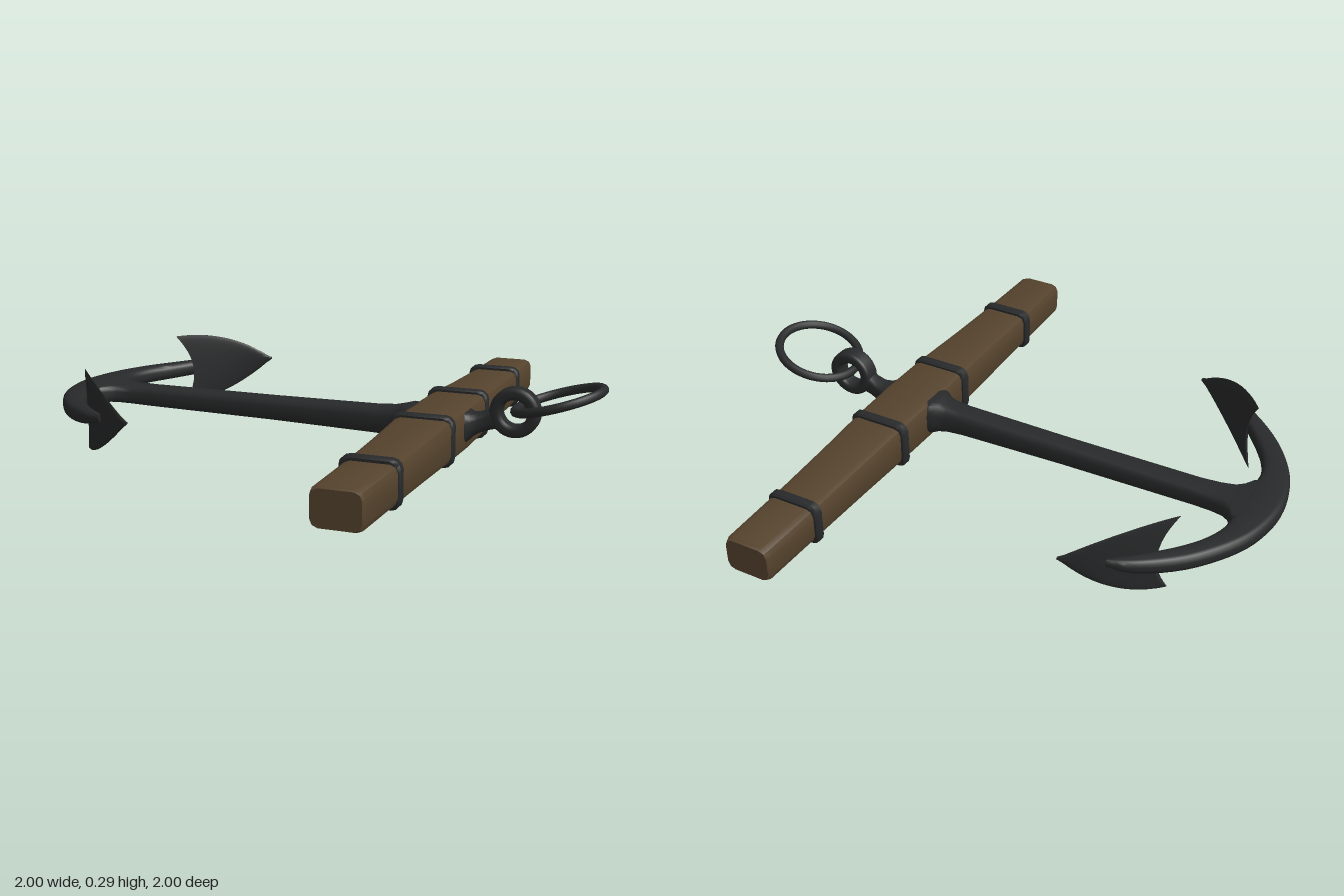
import * as THREE from 'three';
import { toCreasedNormals } from 'three/addons/utils/BufferGeometryUtils.js';

const V = (x, y, z) => new THREE.Vector3(x, y, z);
const X = V(1, 0, 0), Y = V(0, 1, 0), Z = V(0, 0, 1);

// Skin a list of point rings; each ring turns counterclockwise about the travel direction.
function loft(rings, crease = 0.7) {
  const n = rings[0].length, last = (rings.length - 1) * n, index = [];
  for (let k = 0; k < last; k += n) {
    for (let i = 0; i < n; i++) {
      const a = k + i, b = k + (i + 1) % n;
      index.push(a, b, b + n, a, b + n, a + n);
    }
  }
  for (let i = 0; i < n / 2 - 1; i++) {
    const p = n - 1 - i, q = n - 2 - i;
    index.push(i, q, i + 1, i, p, q);
    index.push(last + i, last + i + 1, last + q, last + i, last + q, last + p);
  }
  const geo = new THREE.BufferGeometry().setFromPoints(rings.flat());
  geo.setIndex(index);
  return toCreasedNormals(geo, crease);
}

// Rounded rectangle ring: half sizes a along u, b along v, corner radius r.
function ring(c, u, v, a, b, r, segs = 3) {
  const pts = [];
  for (let q = 0; q < 4; q++) {
    const su = q === 0 || q === 3 ? 1 : -1, sv = q < 2 ? 1 : -1;
    for (let i = 0; i <= segs; i++) {
      const t = (q + i / segs) * Math.PI / 2;
      pts.push(c.clone()
        .addScaledVector(u, su * (a - r) + r * Math.cos(t))
        .addScaledVector(v, sv * (b - r) + r * Math.sin(t)));
    }
  }
  return pts;
}

export function createModel() {
  const model = new THREE.Group();
  const iron = new THREE.MeshStandardMaterial({ color: 0x28292a });
  iron.name = 'dark iron';
  const wood = new THREE.MeshStandardMaterial({ color: 0x55432d });
  wood.name = 'brown wood';
  const add = (name, geo, mat, parent = model) => {
    const mesh = new THREE.Mesh(geo, mat);
    mesh.name = name;
    parent.add(mesh);
    return mesh;
  };

  // Tapered wooden stock: [z, half width, half height, centre height]
  const half = [[0, 0.105, 0.075, 0.11], [0.2, 0.102, 0.074, 0.11], [0.45, 0.095, 0.069, 0.106],
    [0.7, 0.09, 0.065, 0.103], [0.985, 0.085, 0.064, 0.102], [1, 0.08, 0.059, 0.102]];
  const stock = [...half.slice(1).reverse().map(([z, ...s]) => [-z, ...s]), ...half];
  add('woodenStock', loft(stock.map(([z, w, h, y]) =>
    ring(V(0.425, y, z), X, Y, w, h, 0.026, 2)), 0.45), wood);

  // Iron bands around the stock
  for (const [z, w, h, y] of [[-0.74, 0.099, 0.079, 0.103], [-0.23, 0.112, 0.088, 0.109],
    [0.19, 0.111, 0.088, 0.109], [0.7, 0.1, 0.08, 0.103]]) {
    add('stockBand', loft([[-0.019, 0.006], [-0.012, 0], [0.012, 0], [0.019, 0.006]].map(([dz, s]) =>
      ring(V(0.422, y, z + dz), X, Y, w - s, h - s, 0.033))), iron);
  }

  // Shank with flared ends, passing through the stock: [x, centre height, half height, half depth]
  add('shank', loft([
    [-0.9, 0.137, 0.029, 0.13], [-0.865, 0.135, 0.03, 0.115], [-0.845, 0.133, 0.031, 0.085],
    [-0.82, 0.131, 0.033, 0.065], [-0.77, 0.129, 0.035, 0.053], [-0.7, 0.127, 0.037, 0.047],
    [-0.2, 0.123, 0.042, 0.045], [0.2, 0.119, 0.049, 0.048], [0.26, 0.119, 0.053, 0.052],
    [0.295, 0.12, 0.059, 0.061], [0.32, 0.12, 0.064, 0.08], [0.42, 0.12, 0.055, 0.08],
    [0.525, 0.12, 0.055, 0.068], [0.54, 0.128, 0.043, 0.05], [0.565, 0.138, 0.036, 0.036],
    [0.6, 0.152, 0.036, 0.031], [0.635, 0.165, 0.04, 0.03],
  ].map(([x, y, h, d]) => ring(V(x, y, 0), Y, Z, h, d, Math.min(h, d) * 0.65)), 0.8), iron);

  // Eye at the end of the shank
  const profile = ring(V(0.066, 0, 0), X, Y, 0.021, 0.033, 0.014).map(p => new THREE.Vector2(p.x, p.y));
  profile.push(profile[0].clone());
  const eye = add('shankEye', new THREE.LatheGeometry(profile, 32), iron);
  eye.rotation.x = Math.PI / 2;
  eye.position.set(0.69, 0.185, 0);

  // Tilted ring through the eye
  const hoop = add('ring', new THREE.TorusGeometry(0.152, 0.016, 10, 48), iron);
  hoop.rotation.set(Math.PI / 2, -0.3, 0);
  hoop.rotation.order = 'ZYX';
  hoop.rotation.set(Math.PI / 2, 0, 0.29);
  hoop.position.set(0.835, 0.236, -0.01);

  // Curved arms: [outer x, outer z, inner x, inner z, centre height, half height]
  const arm = [[-1, 0, -0.87, 0, 0.137, 0.03], [-0.989, 0.1, -0.868, 0.1, 0.137, 0.03],
    [-0.96, 0.2, -0.866, 0.17, 0.138, 0.03], [-0.905, 0.3, -0.84, 0.245, 0.14, 0.03],
    [-0.83, 0.395, -0.79, 0.325, 0.143, 0.029], [-0.74, 0.475, -0.725, 0.405, 0.15, 0.027],
    [-0.67, 0.52, -0.662, 0.47, 0.158, 0.022], [-0.615, 0.536, -0.615, 0.515, 0.166, 0.013]];
  const arms = [...arm.slice(1).reverse().map(([ox, oz, ix, iz, ...s]) => [ox, -oz, ix, -iz, ...s]), ...arm];
  const outer = new THREE.CatmullRomCurve3(arms.map(a => V(a[0], a[4], a[1])));
  const inner = new THREE.CatmullRomCurve3(arms.map(a => V(a[2], a[5], a[3])));
  const armRings = [];
  for (let i = 0; i <= 42; i++) {
    const o = outer.getPoint(i / 42), n = inner.getPoint(i / 42), h = n.y;
    n.y = o.y;
    const u = n.clone().sub(o), w = u.length() / 2;
    armRings.push(ring(o.clone().add(n).multiplyScalar(0.5), u.normalize(), Y, w, h, Math.min(w, h) * 0.75));
  }
  add('arms', loft(armRings, 0.8), iron);

  // Spade-shaped flukes, bent to follow the arms
  const flukeRings = [];
  for (let k = 0; k <= 14; k++) {
    const u = k / 14, h = Math.max(0.14 * (1 - u ** 1.8), 0.004), pts = [];
    for (let i = 0; i < 28; i++) {
      const a = (i + 0.5) / 28 * Math.PI * 2, v = Math.cos(a);
      const x = THREE.MathUtils.lerp(-0.73 - 0.04 * v * v - 0.01 * v, -0.475, u);
      const t = (x + 0.77) / 0.295;
      const z = 0.355 + 0.235 * t * (1.6 - 0.6 * t);
      pts.push(V(x, 0.147 + 0.028 * u + v * h, z + (0.011 - 0.005 * u) * Math.sin(a)));
    }
    flukeRings.push(pts);
  }
  const fluke = loft(flukeRings);
  for (const side of [1, -1]) {
    add(side > 0 ? 'frontFluke' : 'backFluke', fluke, iron).scale.z = side;
  }
  return model;
}
